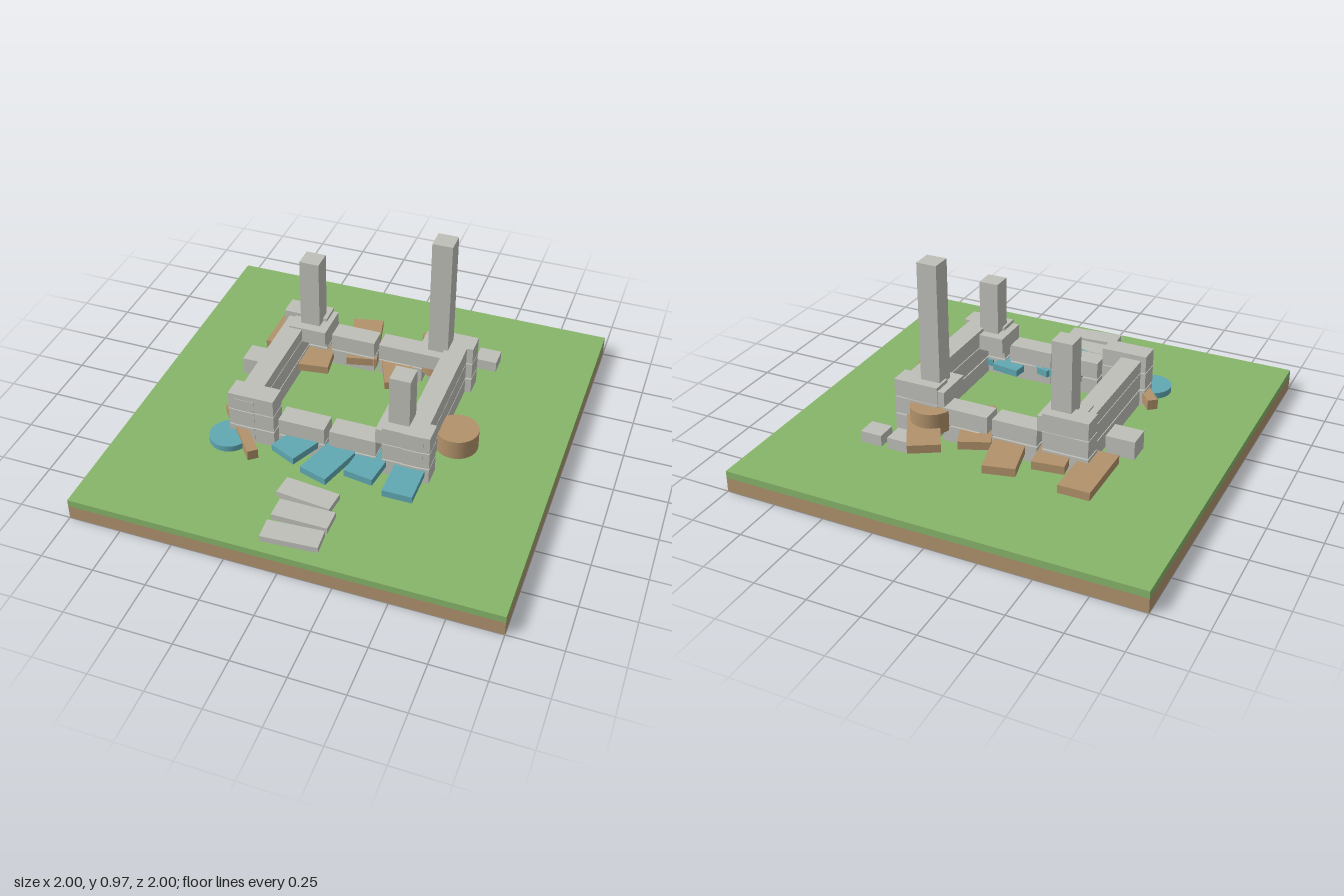
import * as THREE from 'three';

const material = (name, color) => {
  const m = new THREE.MeshStandardMaterial({ color });
  m.name = name;
  return m;
};

export function createModel() {
  const root = new THREE.Group();
  root.name = 'ruin';
  const stone = material('stone', 0xbfbfb9);
  const grass = material('grass', 0x87b56a);
  const dirt = material('dirt', 0xb0926c);
  const wood = material('wood', 0xb2926b);
  const teal = material('teal', 0x60a8b2);

  const add = (name, geometry, mat, x, y, z, turn = 0) => {
    const mesh = new THREE.Mesh(geometry, mat);
    mesh.name = name;
    mesh.position.set(x, y, z);
    mesh.rotation.y = turn;
    root.add(mesh);
  };
  // Box spanning y0..y1, centred on x and z
  const slab = (name, mat, x, z, w, d, y0, y1, turn = 0) =>
    add(name, new THREE.BoxGeometry(w, y1 - y0, d), mat, x, (y0 + y1) / 2, z, turn);
  const drum = (name, mat, x, z, r, y0, y1) =>
    add(name, new THREE.CylinderGeometry(r, r, y1 - y0, 28), mat, x, (y0 + y1) / 2, z);

  // Ground
  slab('dirtBase', dirt, 0, 0, 2, 2, 0, 0.07);
  slab('grassTop', grass, 0, 0, 2, 2, 0.07, 0.105);

  // Front and back walls: low middle blocks, taller corner stacks
  const courses = [[0.135, 0.215], [0.222, 0.305], [0.31, 0.395]];
  for (const z of [-0.345, 0.34]) {
    courses.forEach(([y0, y1], i) => {
      for (const x of [-0.37, 0.37]) slab('cornerBlock', stone, x, z, 0.22, 0.1, y0, y1);
      if (i < 2) for (const x of [-0.125, 0.12]) slab('wallBlock', stone, x, z, 0.22, 0.1, y0, y1);
    });
  }
  // Side walls; the one on -x sits a little lower
  courses.forEach(([y0, y1], i) => {
    slab('sideBeam', stone, 0.4, 0, 0.1, 0.785, y0, y1);
    slab('sideBeam', stone, -0.405, 0, 0.1, 0.785, y0, i === 2 ? 0.37 : y1);
  });

  // Pillars on square footings
  for (const [x, z, top] of [[-0.328, -0.297, 0.73], [0.32, -0.297, 0.97], [0.32, 0.29, 0.64]]) {
    slab('pillarFooting', stone, x, z, 0.188, 0.188, 0.3, 0.378);
    slab('pillar', stone, x, z, 0.097, 0.097, 0.378, top);
  }

  // Loose stones
  slab('looseStone', stone, -0.545, -0.127, 0.14, 0.115, 0.135, 0.225);
  slab('looseStone', stone, 0.365, -0.532, 0.105, 0.098, 0.145, 0.2);
  slab('looseStone', stone, 0.502, -0.532, 0.105, 0.098, 0.145, 0.2);

  // Stepping stones
  for (const [x, z, turn] of [[-0.003, 0.625, -0.1], [0.025, 0.752, 0], [0.025, 0.882, 0.07]])
    slab('steppingStone', stone, x, z, 0.262, 0.105, 0.105, 0.135, turn);

  // Fallen wooden planks
  for (const [x, z, turn, y] of [
    [-0.503, -0.44, 0, 0.18], [-0.305, -0.318, 0.14, 0.185], [-0.112, -0.442, 0.23, 0.19],
    [0.1, -0.317, 0.4, 0.195], [0.298, -0.46, 0.52, 0.205],
  ]) slab('woodPlank', wood, x, z, 0.15, 0.33, y - 0.02, y + 0.02, turn);
  slab('woodBeam', wood, -0.425, 0.382, 0.05, 0.36, 0.155, 0.205, 0.69);

  // Fallen teal panels
  for (const [x, z, turn, y, length] of [
    [-0.115, 0.375, -0.43, 0.208, 0.28], [0.045, 0.435, -0.3, 0.198, 0.3],
    [0.212, 0.375, -0.14, 0.193, 0.29], [0.39, 0.425, 0, 0.188, 0.29],
  ]) slab('tealPanel', teal, x, z, 0.14, length, y - 0.017, y + 0.017, turn);

  // Stumps and disc
  drum('stump', wood, 0.525, 0.095, 0.1, 0.138, 0.235);
  drum('stump', wood, 0.3, -0.375, 0.1, 0.195, 0.295);
  drum('tealDisc', teal, -0.467, 0.425, 0.094, 0.155, 0.185);
  return root;
}
